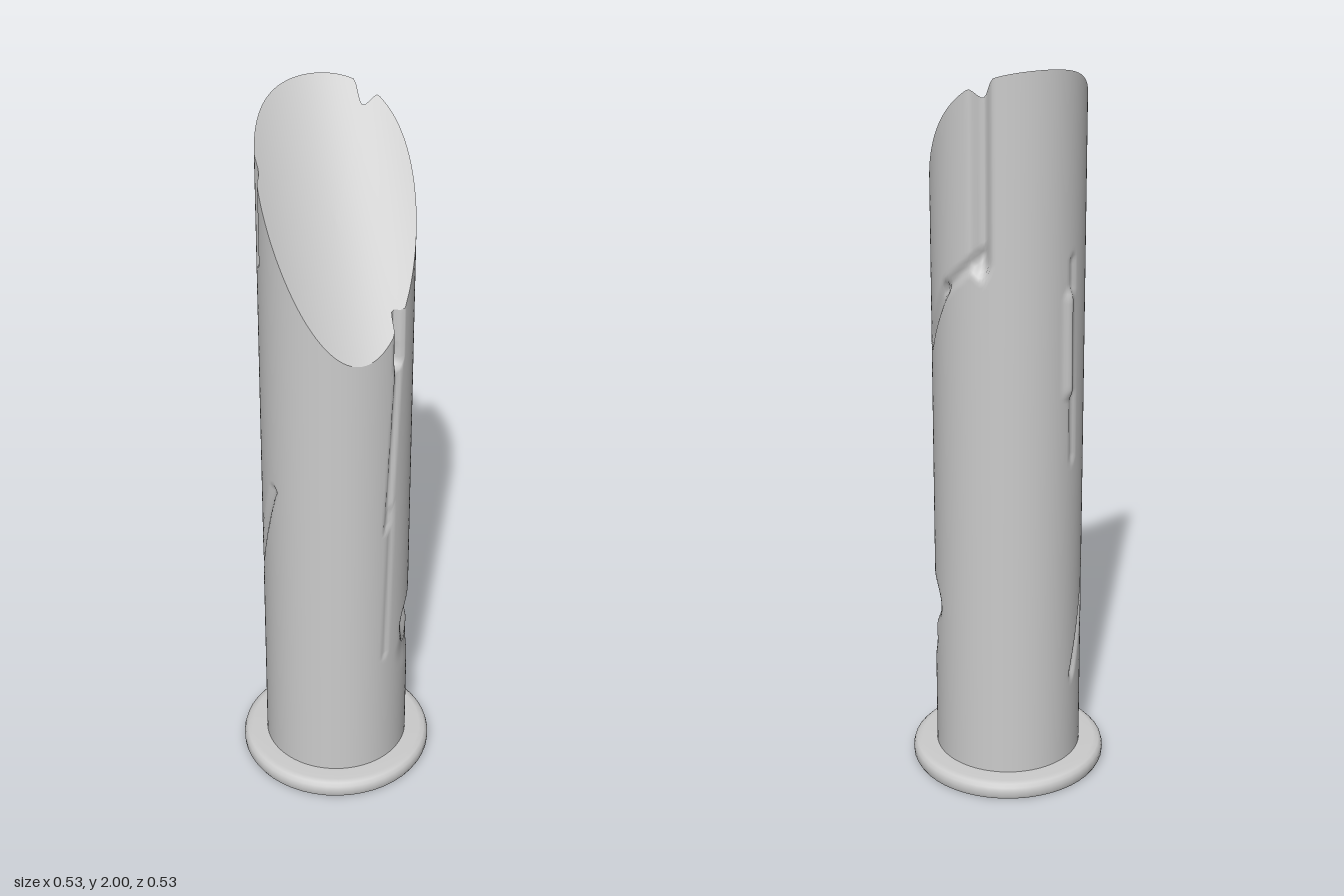
import * as THREE from 'three';

const R = 0.2, AROUND = 160, ROWS = 150, RINGS = 16;
const rad = THREE.MathUtils.degToRad;

// Damage marks: [start angle, start y, end angle, end y, half width, depth]
// Angles are in degrees from the front (+z) towards +x; negative depth bulges out.
const marks = [
  [14, 1.56, 14, 1.35, 0.022, 0.026],      // front crack
  [14, 1.38, 4, 0.85, 0.016, 0.008],
  [8, 0.9, 3, 0.42, 0.014, 0.004],
  [57, 1.25, 85, 1.42, 0.022, 0.012],      // slanted scratch on the side
  [85, 1.42, 118, 1.53, 0.02, 0.01],
  [119, 1.5, 119, 2.05, 0.034, 0.026],     // upright groove up to the rim
  [-160, 0.3, -95, 0.95, 0.018, 0.009],    // slanted scratch at the back
  [-164, 0.95, -166, 1.5, 0.016, 0.006],
  [-169, 1.15, -169, 1.4, 0.03, -0.011],   // raised splinter
  [-120, 1.6, -120, 1.95, 0.025, 0.009],
  [43, 0.47, 54, 0.49, 0.08, 0.024],       // dent near the foot
  [38, 0.39, 44, 0.38, 0.08, 0.008],
];

// Distance from a wall point to a mark, on the unrolled wall
function markDistance(a, y, [a0, y0, a1, y1]) {
  const dx = R * (rad(a1) - rad(a0)), dy = y1 - y0;
  let da = a - rad(a0);
  da -= Math.round(da / (2 * Math.PI)) * 2 * Math.PI;
  const px = R * da, py = y - y0;
  const t = THREE.MathUtils.clamp((px * dx + py * dy) / (dx * dx + dy * dy), 0, 1);
  return Math.hypot(px - t * dx, py - t * dy);
}

function wallRadius(a, y) {
  let r = R;
  for (const m of marks) {
    const t = markDistance(a, y, m) / m[4];
    if (t < 1) r -= m[5] * (1 - t * t) ** 2;
  }
  return r;
}

// Slanted cut: a shallow trough climbing towards the back
function cutHeight(x, z) {
  const u = 0.34 * x - 0.94 * z, p = 0.94 * x + 0.34 * z;
  return 1.69 + 1.55 * u + 2.7 * p * p;
}

function rim(a) {
  const s = Math.sin(a), c = Math.cos(a);
  const r = wallRadius(a, cutHeight(R * s, R * c));
  return { r, y: cutHeight(r * s, r * c) };
}

// Closed loops of points joined into a smooth surface
function loopSurface(rows, point) {
  const pos = [], idx = [];
  for (let j = 0; j <= rows; j++)
    for (let i = 0; i < AROUND; i++) pos.push(...point((i / AROUND) * 2 * Math.PI, j / rows));
  for (let j = 0; j < rows; j++)
    for (let i = 0; i < AROUND; i++) {
      const k = (i + 1) % AROUND, a = j * AROUND + i, b = j * AROUND + k;
      idx.push(a, b, b + AROUND, a, b + AROUND, a + AROUND);
    }
  const g = new THREE.BufferGeometry();
  g.setAttribute('position', new THREE.Float32BufferAttribute(pos, 3));
  g.setIndex(idx);
  g.computeVertexNormals();
  return g;
}

export function createModel() {
  const group = new THREE.Group();
  const material = new THREE.MeshStandardMaterial({ color: 0xcccccc });
  const add = (name, geometry) => {
    const mesh = new THREE.Mesh(geometry, material);
    mesh.name = name;
    group.add(mesh);
  };

  // Post wall, scratched and dented
  add('postWall', loopSurface(ROWS, (a, t) => {
    const top = rim(a), y = 0.03 + (top.y - 0.03) * t;
    const r = t === 1 ? top.r : wallRadius(a, y);
    return [r * Math.sin(a), y, r * Math.cos(a)];
  }));

  // Slanted cut face
  add('cutFace', loopSurface(RINGS, (a, t) => {
    const r = rim(a).r * (1 - t * 0.9999);
    const x = r * Math.sin(a), z = r * Math.cos(a);
    return [x, cutHeight(x, z), z];
  }));

  // Rounded foot flange
  const outline = [[0.262, 0], [0.266, 0.008], [0.267, 0.022], [0.264, 0.034], [0.256, 0.042],
    [0.242, 0.046], [0.19, 0.046]].map(([x, y]) => new THREE.Vector2(x, y));
  add('footFlange', new THREE.LatheGeometry(outline, 48));

  // Flat underside
  const under = new THREE.CircleGeometry(0.262, 48);
  under.rotateX(Math.PI / 2);
  add('underside', under);

  return group;
}
